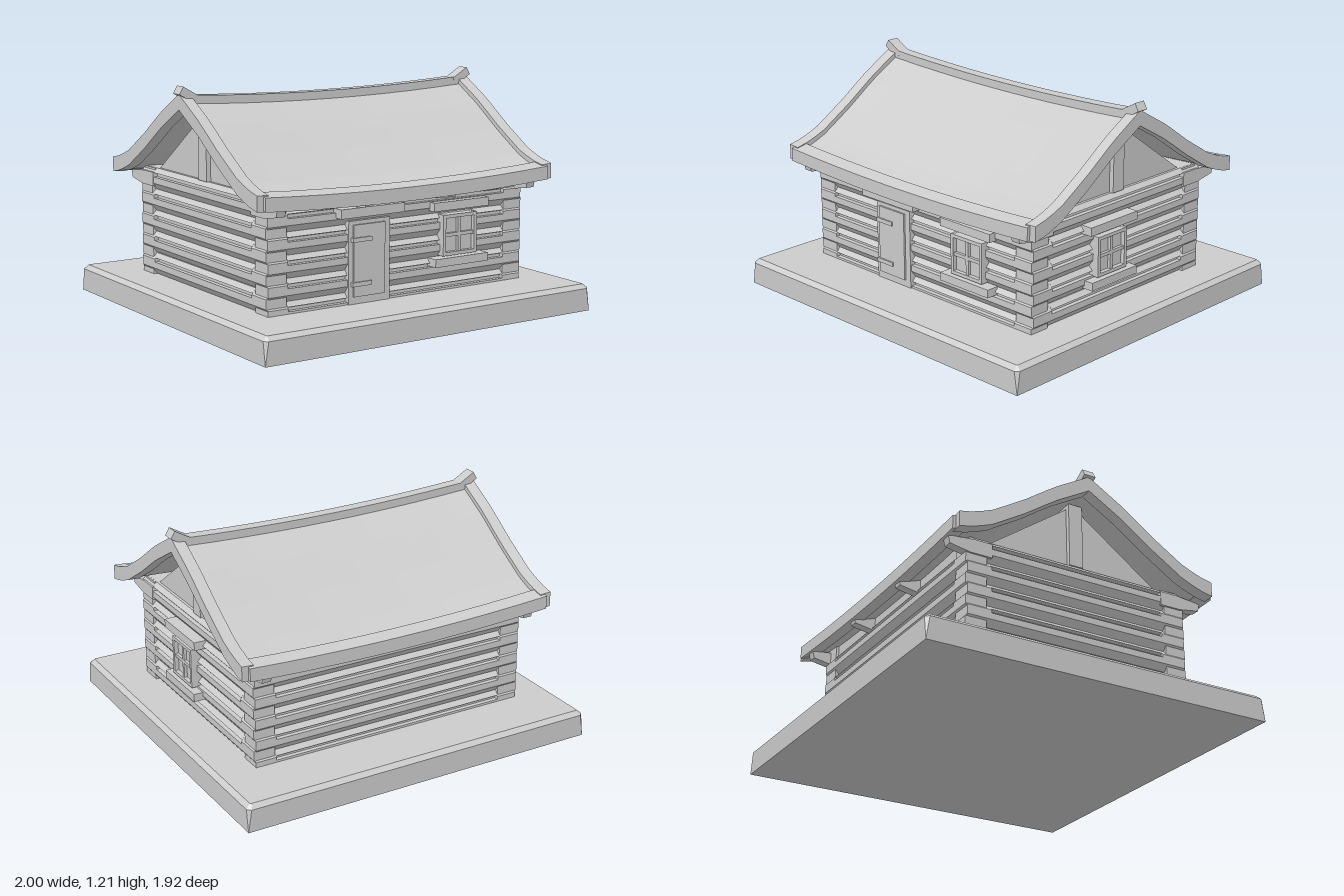
import * as THREE from 'three';

const grey = new THREE.MeshStandardMaterial({ color: 0xcccccc, flatShading: true });
grey.name = 'pale grey';

export function createModel() {
  const model = new THREE.Group();
  model.name = 'logCabin';

  const add = (name, geometry, parent = model) => {
    const mesh = new THREE.Mesh(geometry, grey);
    mesh.name = name;
    parent.add(mesh);
    return mesh;
  };
  // Box given by its limits on each axis
  const box = (name, x0, x1, y0, y1, z0, z1, parent = model) => {
    const mesh = add(name, new THREE.BoxGeometry(x1 - x0, y1 - y0, z1 - z0), parent);
    mesh.position.set((x0 + x1) / 2, (y0 + y1) / 2, (z0 + z1) / 2);
    return mesh;
  };
  const polygon = (points) => new THREE.Shape(points.map(([x, y]) => new THREE.Vector2(x, y)));
  const extrude = (points, depth) =>
    new THREE.ExtrudeGeometry(polygon(points), { depth, bevelEnabled: false }).translate(0, 0, -depth / 2);

  // Base slab with chamfered corners and top edge
  const slab = (x, z, c) => polygon([
    [-x + c, -z], [x - c, -z], [x, -z + c], [x, z - c], [x - c, z], [-x + c, z], [-x, z - c], [-x, -z + c]]);
  const base = new THREE.ExtrudeGeometry(slab(0.975, 0.938, 0.005), {
    depth: 0.12, bevelEnabled: true, bevelThickness: 0.022, bevelSize: 0.024, bevelSegments: 1 });
  base.rotateX(-Math.PI / 2);
  // Square off the underside
  const bp = base.attributes.position;
  for (let i = 0; i < bp.count; i++) {
    if (bp.getY(i) < 0.01) {
      bp.setY(i, 0);
      bp.setX(i, Math.sign(bp.getX(i)) * 0.999);
      bp.setZ(i, Math.sign(bp.getZ(i)) * 0.962);
    }
  }
  base.computeVertexNormals();
  add('base', base);

  // Logs: plain ends and a grooved middle
  const h = 0.0575;
  const plain = [[-0.055, -h], [0.035, -h], [0.062, -0.022], [0.062, 0.028], [0.035, h], [-0.055, h]];
  const grooved = [[-0.055, -h], [0.035, -h], [0.062, -0.022], [0.062, 0.012], [0.038, 0.012],
    [0.038, 0.028], [0.058, 0.034], [0.035, h], [-0.055, h]];
  const wall = (name, angle, offset, half, groove, heights) => {
    const group = new THREE.Group();
    group.name = name;
    group.rotation.y = angle;
    for (const y of heights) {
      add('logMiddle', extrude(grooved, groove * 2), group).position.set(offset, y, 0);
      for (const s of [-1, 1]) {
        add('logEnd', extrude(plain, half - groove), group).position.set(offset, y, s * (half + groove) / 2);
      }
    }
    model.add(group);
  };
  const longRows = [0.142, 0.257, 0.372, 0.487, 0.602];
  const sideRows = [0.2, 0.318, 0.433, 0.548, 0.663];
  wall('frontWall', -Math.PI / 2, 0.58, 0.785, 0.67, longRows);
  wall('backWall', Math.PI / 2, 0.58, 0.785, 0.67, longRows);
  wall('leftWall', 0, 0.73, 0.635, 0.5, sideRows);
  wall('rightWall', Math.PI, 0.73, 0.635, 0.5, sideRows);

  // Wall plates, eave brackets and gables
  for (const s of [-1, 1]) {
    box('wallPlate', -0.775, 0.775, 0.65, 0.72, s * 0.565 - 0.055, s * 0.565 + 0.055);
    for (const x of [-0.77, -0.255, 0.255, 0.77]) {
      const bracket = add('eaveBracket', extrude(
        [[0.5, 0.625], [0.62, 0.625], [0.735, 0.645], [0.745, 0.685], [0.6, 0.7], [0.5, 0.7]], 0.05));
      bracket.rotation.y = -s * Math.PI / 2;
      bracket.position.x = x;
    }
    const gable = add('gable', extrude([[-0.5, 0.72], [0.5, 0.72], [0.03, 1.055], [-0.03, 1.055]], 0.06));
    gable.rotation.y = Math.PI / 2;
    gable.position.x = s * 0.72;
    box('kingPost', s * 0.73 - 0.045, s * 0.73 + 0.045, 0.72, 1.07, -0.04, 0.04);
  }

  // Roof: slabs bent along the slope and sagging between the ends
  const profile = [[0, 1.165], [0.2, 1.05], [0.38, 0.925], [0.56, 0.815], [0.66, 0.775], [0.77, 0.752]];
  const slope = (z) => {
    let i = 0;
    while (i < profile.length - 2 && z > profile[i + 1][0]) i++;
    const [z0, y0] = profile[i], [z1, y1] = profile[i + 1];
    return y0 + (y1 - y0) * (z - z0) / (z1 - z0);
  };
  const sag = (x) => 0.028 * (1 - (x / 0.88) ** 2);
  const roofSlab = (x0, x1, z0, z1, lift, thick) => {
    const g = new THREE.BoxGeometry(x1 - x0, thick, z1 - z0, 10, 1, 12);
    g.translate((x0 + x1) / 2, lift - thick / 2, (z0 + z1) / 2);
    const p = g.attributes.position;
    for (let i = 0; i < p.count; i++) {
      p.setY(i, p.getY(i) + slope(p.getZ(i)) - sag(p.getX(i)));
    }
    g.computeVertexNormals();
    return g;
  };
  for (const angle of [0, Math.PI]) {
    const side = new THREE.Group();
    side.name = angle ? 'backRoof' : 'frontRoof';
    side.rotation.y = angle;
    add('roofPanel', roofSlab(-0.86, 0.86, 0, 0.74, -0.022, 0.045), side);
    add('eaveStrip', roofSlab(-0.87, 0.87, 0.685, 0.762, 0, 0.07), side);
    for (const s of [-1, 1]) {
      add('bargeBoard', roofSlab(s * 0.874 - 0.032, s * 0.874 + 0.032, 0, 0.745, 0.005, 0.08), side);
    }
    model.add(side);
  }

  // Ridge beam with upturned ends
  const ridge = new THREE.BoxGeometry(1.74, 0.075, 0.064, 12, 1, 1);
  const rp = ridge.attributes.position;
  for (let i = 0; i < rp.count; i++) rp.setY(i, rp.getY(i) + 1.13 - sag(rp.getX(i)));
  ridge.computeVertexNormals();
  add('ridgeBeam', ridge);
  for (const s of [-1, 1]) {
    const tip = add('ridgeTip', new THREE.BoxGeometry(0.11, 0.045, 0.066));
    tip.position.set(s * 0.86, 1.165, 0);
    tip.rotation.z = s * 0.52;
  }

  // Door
  box('doorFrame', -0.32, -0.07, 0.14, 0.565, 0.58, 0.65);
  box('doorPanel', -0.295, -0.105, 0.18, 0.545, 0.6, 0.66);
  for (const y of [0.245, 0.47]) box('hinge', -0.305, -0.19, y - 0.011, y + 0.011, 0.65, 0.668);
  box('doorLintel', -0.39, -0.005, 0.588, 0.636, 0.58, 0.688);

  // Windows, built facing +z around x = 0
  const makeWindow = (name) => {
    const w = new THREE.Group();
    w.name = name;
    box('pane', -0.1, 0.1, 0.335, 0.53, -0.06, 0.012, w);
    for (const s of [-1, 1]) {
      box('jamb', s * 0.1 - 0.009, s * 0.1 + 0.009, 0.325, 0.54, -0.06, 0.035, w);
      box('rail', -0.1, 0.1, 0.432 + s * 0.098 - 0.009, 0.432 + s * 0.098 + 0.009, -0.06, 0.035, w);
    }
    box('upright', -0.009, 0.009, 0.335, 0.53, -0.04, 0.028, w);
    box('crossbar', -0.1, 0.1, 0.423, 0.441, -0.04, 0.028, w);
    box('sill', -0.17, 0.17, 0.275, 0.318, -0.06, 0.053, w);
    box('lintel', -0.175, 0.175, 0.565, 0.61, -0.06, 0.045, w);
    model.add(w);
    return w;
  };
  makeWindow('frontWindow').position.set(0.363, 0, 0.635);
  const sideWindow = makeWindow('leftWindow');
  sideWindow.rotation.y = Math.PI / 2;
  sideWindow.position.set(0.79, 0, 0.093);

  return model;
}
